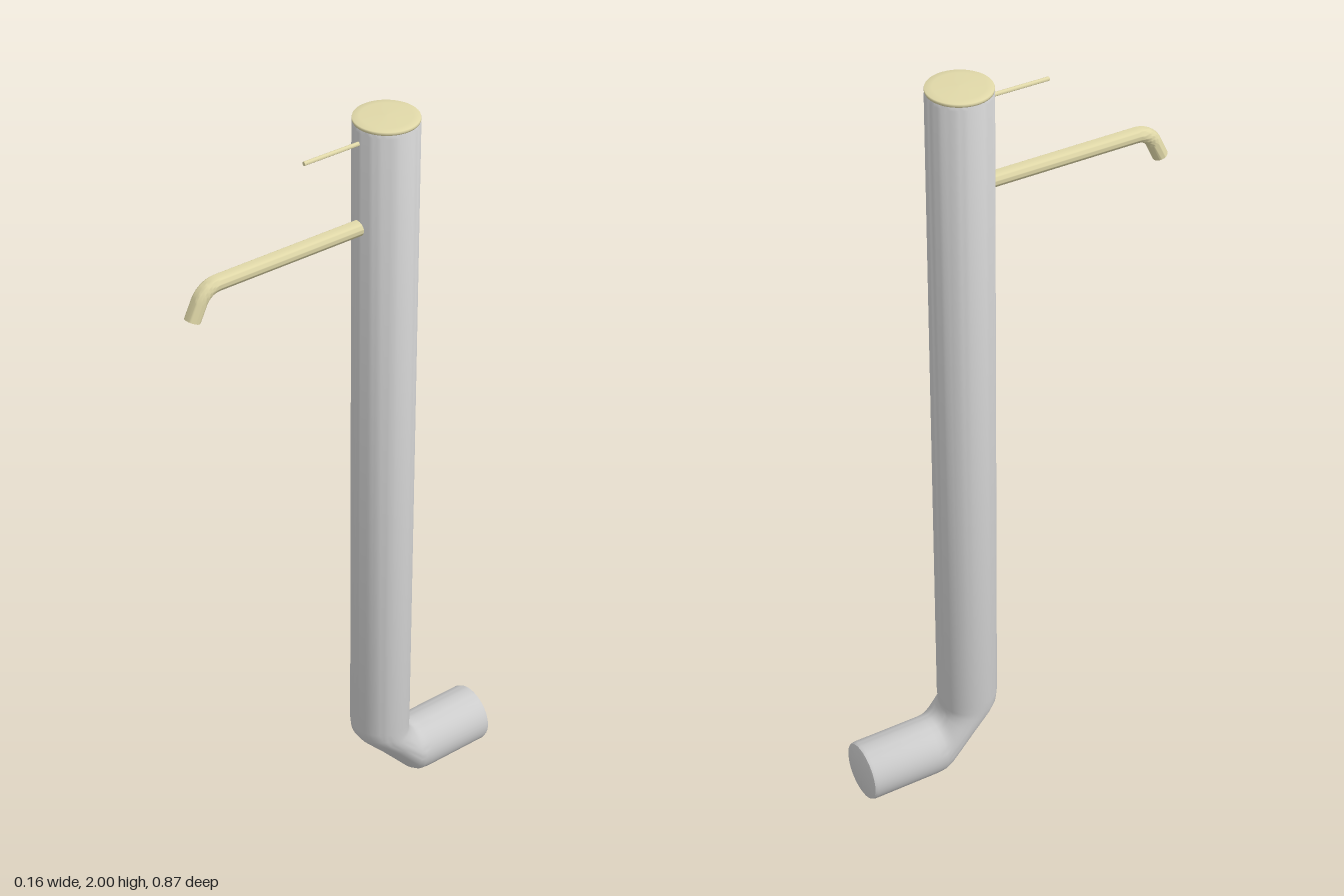
import * as THREE from 'three';
import { toCreasedNormals } from 'three/addons/utils/BufferGeometryUtils.js';

const SIDES = 48;

// Closed tube through rings [z1, y1, z2, y2, halfWidth]; the two points are
// opposite ends of a ring's diameter in the x = 0 plane.
function ringTube(rings, crease) {
  const pos = [], index = [];
  const n = rings.length;
  for (const [z1, y1, z2, y2, w] of rings) {
    for (let j = 0; j < SIDES; j++) {
      const a = (j / SIDES) * Math.PI * 2, s = Math.sin(a);
      pos.push(w * Math.cos(a), (y1 + y2) / 2 + s * (y1 - y2) / 2, (z1 + z2) / 2 + s * (z1 - z2) / 2);
    }
  }
  for (const [z1, y1, z2, y2] of [rings[0], rings[n - 1]]) pos.push(0, (y1 + y2) / 2, (z1 + z2) / 2);
  const first = n * SIDES, last = first + 1;
  for (let j = 0; j < SIDES; j++) {
    const k = (j + 1) % SIDES;
    for (let i = 0; i < n - 1; i++) {
      const a = i * SIDES, b = a + SIDES;
      index.push(a + j, a + k, b + j, a + k, b + k, b + j);
    }
    index.push(first, k, j);
    index.push(last, (n - 1) * SIDES + j, (n - 1) * SIDES + k);
  }
  const geo = new THREE.BufferGeometry();
  geo.setAttribute('position', new THREE.Float32BufferAttribute(pos, 3));
  geo.setIndex(index);
  return toCreasedNormals(geo, crease);
}

// Round ring centred at (z, y); angle is the downward turn from +z
function roundRing(z, y, r, angle = 0) {
  const dz = r * Math.sin(angle), dy = r * Math.cos(angle);
  return [z + dz, y + dy, z - dz, y - dy, r];
}

export function createModel() {
  const model = new THREE.Group();
  const steel = new THREE.MeshStandardMaterial({ color: 0xcccccc });
  const brass = new THREE.MeshStandardMaterial({ color: 0xe0d8a8 });
  const add = (name, geometry, material) => {
    const mesh = new THREE.Mesh(geometry, material);
    mesh.name = name;
    model.add(mesh);
  };

  // Upright pipe, slanted elbow and horizontal stub, with softened ends
  add('bentPipe', ringTube([
    [-0.045, 1.988, -0.191, 1.988, 0.073],
    [-0.04, 1.98, -0.196, 1.98, 0.078],
    [-0.04, 0.225, -0.196, 0.225, 0.078],
    [-0.044, 0.198, -0.194, 0.2, 0.078],
    [-0.06, 0.173, -0.193, 0.188, 0.078],
    [-0.113, 0.115, -0.197, 0.178, 0.078],
    [-0.167, 0.052, -0.203, 0.168, 0.078],
    [-0.195, 0.019, -0.213, 0.16, 0.078],
    [-0.215, 0.004, -0.222, 0.157, 0.078],
    [-0.24, 0, -0.24, 0.156, 0.078],
    [-0.423, 0, -0.423, 0.156, 0.078],
    [-0.431, 0.003, -0.431, 0.153, 0.075],
    [-0.434, 0.01, -0.434, 0.146, 0.068],
  ], 0.7), steel);

  // Thin lid on the pipe
  const lid = new THREE.LatheGeometry([
    [0, 1.982], [0.07, 1.985], [0.077, 1.989], [0.078, 1.993], [0.077, 1.997], [0.06, 1.9985], [0, 2],
  ].map(([x, y]) => new THREE.Vector2(x, y)), SIDES);
  lid.translate(0, 0, -0.118);
  add('lid', lid, brass);

  // Spout: straight run, then an arc turning down to the outlet
  const r = 0.019, y = 1.737, bend = 0.055, turn = 1.16, start = 0.347;
  const rings = [roundRing(-0.06, y, r), roundRing(start, y, r)];
  for (let i = 1; i <= 10; i++) {
    const a = (turn * i) / 10;
    rings.push(roundRing(start + bend * Math.sin(a), y - bend * (1 - Math.cos(a)), r, a));
  }
  rings.push(roundRing(0.4165, 1.664, r, turn));
  add('spout', ringTube(rings, 0.7), brass);

  // Thin lever
  add('lever', ringTube([roundRing(-0.06, 1.953, 0.005), roundRing(0.11, 1.953, 0.005)], 0.7), brass);

  return model;
}
